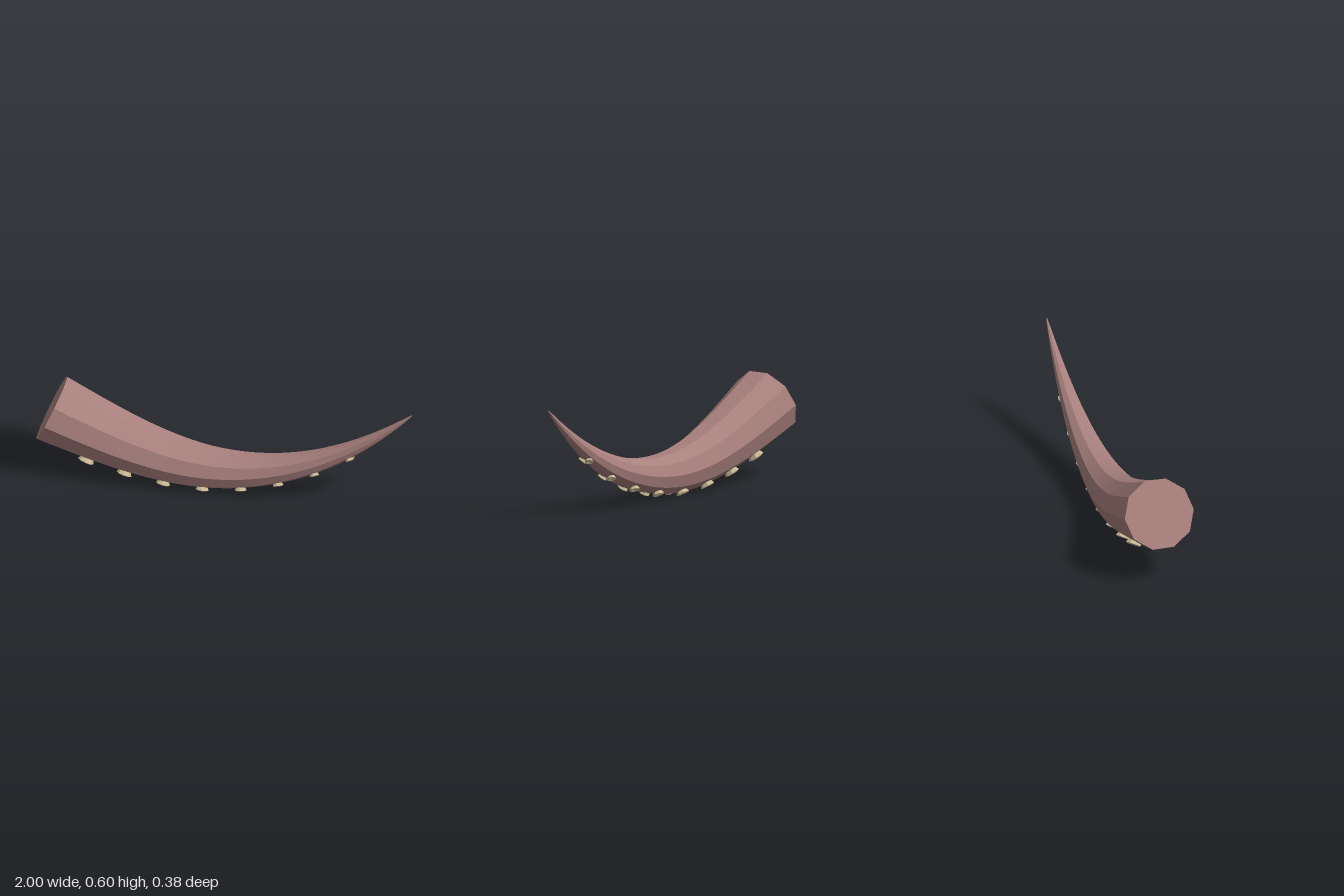
import * as THREE from 'three';
import { toCreasedNormals } from 'three/addons/utils/BufferGeometryUtils.js';

const START = -0.928, END = 0.997;

// Centre line: two cubic spans meeting at the lowest point, as height and slope over x
const spans = [
  { x0: START, x1: -0.04, y0: 0.395, y1: 0.138, m0: -0.44, m1: 0 },
  { x0: -0.04, x1: END, y0: 0.138, y1: 0.61, m0: 0, m1: 0.95 },
];

function frameAt(x) {
  const s = x < spans[0].x1 ? spans[0] : spans[1];
  const h = s.x1 - s.x0;
  const u = (x - s.x0) / h;
  const y = (2 * u ** 3 - 3 * u ** 2 + 1) * s.y0 + (3 * u ** 2 - 2 * u ** 3) * s.y1
    + h * ((u ** 3 - 2 * u ** 2 + u) * s.m0 + (u ** 3 - u ** 2) * s.m1);
  const slope = (6 * u * u - 6 * u) * (s.y0 - s.y1) / h
    + (3 * u * u - 4 * u + 1) * s.m0 + (3 * u * u - 2 * u) * s.m1;
  const tangent = new THREE.Vector3(1, slope, 0).normalize();
  return {
    centre: new THREE.Vector3(x, y, 0),
    tangent,
    down: new THREE.Vector3(tangent.y, -tangent.x, 0),
    radius: 0.003 + 0.187 * Math.max(0, (END - x) / (END - START)) ** 0.87,
  };
}

// Ten-sided tapering limb, bent along the centre line
function limbGeometry() {
  const geometry = new THREE.CylinderGeometry(1, 1, 1, 10, 48);
  const p = geometry.attributes.position;
  for (let i = 0; i < p.count; i++) {
    const f = frameAt(THREE.MathUtils.lerp(START, END, p.getY(i) + 0.5));
    const v = f.centre.addScaledVector(f.down, p.getX(i) * f.radius);
    p.setXYZ(i, v.x, v.y, p.getZ(i) * f.radius);
  }
  return toCreasedNormals(geometry, 0.4);
}

export function createModel() {
  const group = new THREE.Group();
  const skin = new THREE.MeshStandardMaterial({ color: 0xa8807d });
  skin.name = 'mauve skin';
  const pale = new THREE.MeshStandardMaterial({ color: 0xc8b894, flatShading: true });
  pale.name = 'pale sucker';

  const limb = new THREE.Mesh(limbGeometry(), skin);
  limb.name = 'tentacle';
  group.add(limb);

  // Flared cup with a hollow face, opening along +y
  const cup = new THREE.LatheGeometry([
    [0.68, -0.75], [1, -0.12], [0.8, 0], [0.3, -0.3], [0, -0.3],
  ].map(([r, y]) => new THREE.Vector2(r, y)), 8);

  // Eight rows of paired cups along the underside
  for (let row = 0; row < 8; row++) {
    const f = frameAt(-0.67 + row * 0.188);
    const size = 0.044 - row * 0.0028;
    for (const side of [1, -1]) {
      const out = f.down.clone().multiplyScalar(Math.cos(0.45));
      out.z = side * Math.sin(0.45);
      const across = new THREE.Vector3().crossVectors(out, f.tangent);
      const sucker = new THREE.Mesh(cup, pale);
      sucker.name = side > 0 ? 'suckerFront' : 'suckerBack';
      sucker.quaternion.setFromRotationMatrix(
        new THREE.Matrix4().makeBasis(across.negate(), out, f.tangent.clone()));
      // Keep the basis right-handed
      sucker.quaternion.setFromRotationMatrix(
        new THREE.Matrix4().makeBasis(new THREE.Vector3().crossVectors(out, f.tangent), out, f.tangent));
      sucker.position.copy(f.centre).addScaledVector(out, f.radius * 0.966 + size * 0.5);
      sucker.scale.setScalar(size);
      group.add(sucker);
    }
  }
  return group;
}
